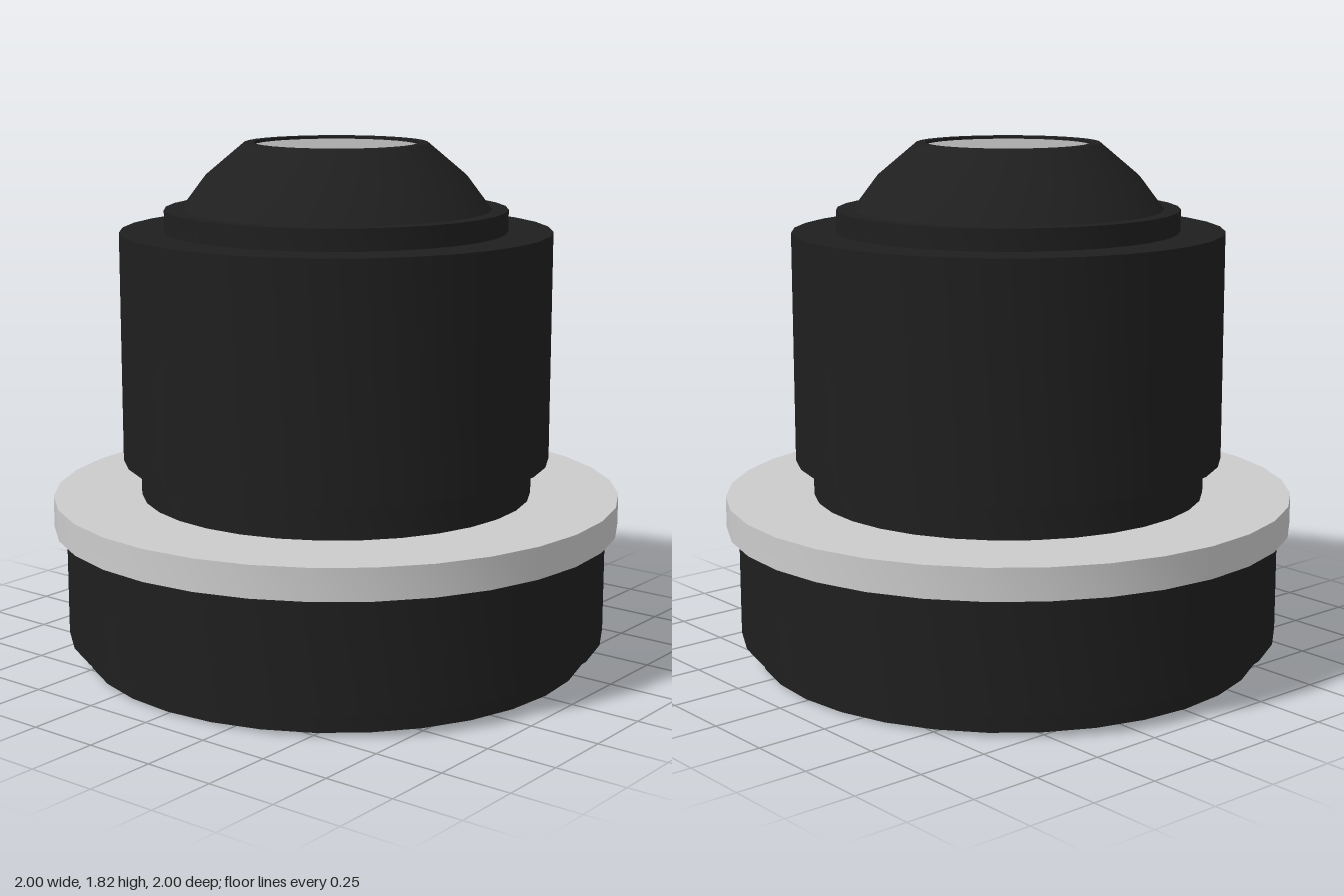
import * as THREE from 'three';
import { toCreasedNormals } from 'three/addons/utils/BufferGeometryUtils.js';

const SIDES = 32;

export function createModel() {
  const model = new THREE.Group();
  const black = new THREE.MeshStandardMaterial({ color: 0x1f1f1f });
  const grey = new THREE.MeshStandardMaterial({ color: 0xcccccc });
  const glass = new THREE.MeshStandardMaterial({ color: 0xaaaaaa });

  // Turned part from [radius, height] pairs, with crisp edges
  const turn = (name, material, profile) => {
    const points = profile.map(([r, y]) => new THREE.Vector2(r, y));
    const geometry = toCreasedNormals(new THREE.LatheGeometry(points, SIDES), Math.PI / 6);
    const mesh = new THREE.Mesh(geometry, material);
    mesh.name = name;
    model.add(mesh);
  };

  // Rear mount with a stepped foot and raised rim around the bore
  turn('rearMount', black, [
    [0.57, 0], [0.78, 0], [0.78, 0.006], [0.895, 0.006],
    [0.895, 0.085], [0.957, 0.085], [0.957, 0.475],
  ]);

  // Deep bore open at the bottom
  turn('rearBore', black, [[0, 1.2], [0.57, 1.2], [0.57, 0]]);

  // Wide mounting flange
  turn('flange', grey, [[0.9, 0.475], [1, 0.475], [1, 0.585], [0.6, 0.585]]);

  // Neck, barrel and front ring
  turn('neck', black, [[0.69, 0.585], [0.69, 0.71]]);
  turn('barrel', black, [[0.69, 0.71], [0.752, 0.71], [0.752, 1.512], [0.55, 1.512]]);
  turn('frontRing', black, [[0.597, 1.512], [0.597, 1.587], [0.5, 1.587]]);

  // Domed nose with a narrow lip around the lens
  turn('nose', black, [[0.54, 1.587], [0.455, 1.7], [0.318, 1.815], [0.285, 1.815], [0.285, 1.803]]);

  // Flat front lens
  const lens = new THREE.Mesh(new THREE.CylinderGeometry(0.285, 0.285, 0.02, SIDES), glass);
  lens.name = 'lens';
  lens.position.y = 1.795;
  model.add(lens);

  return model;
}
